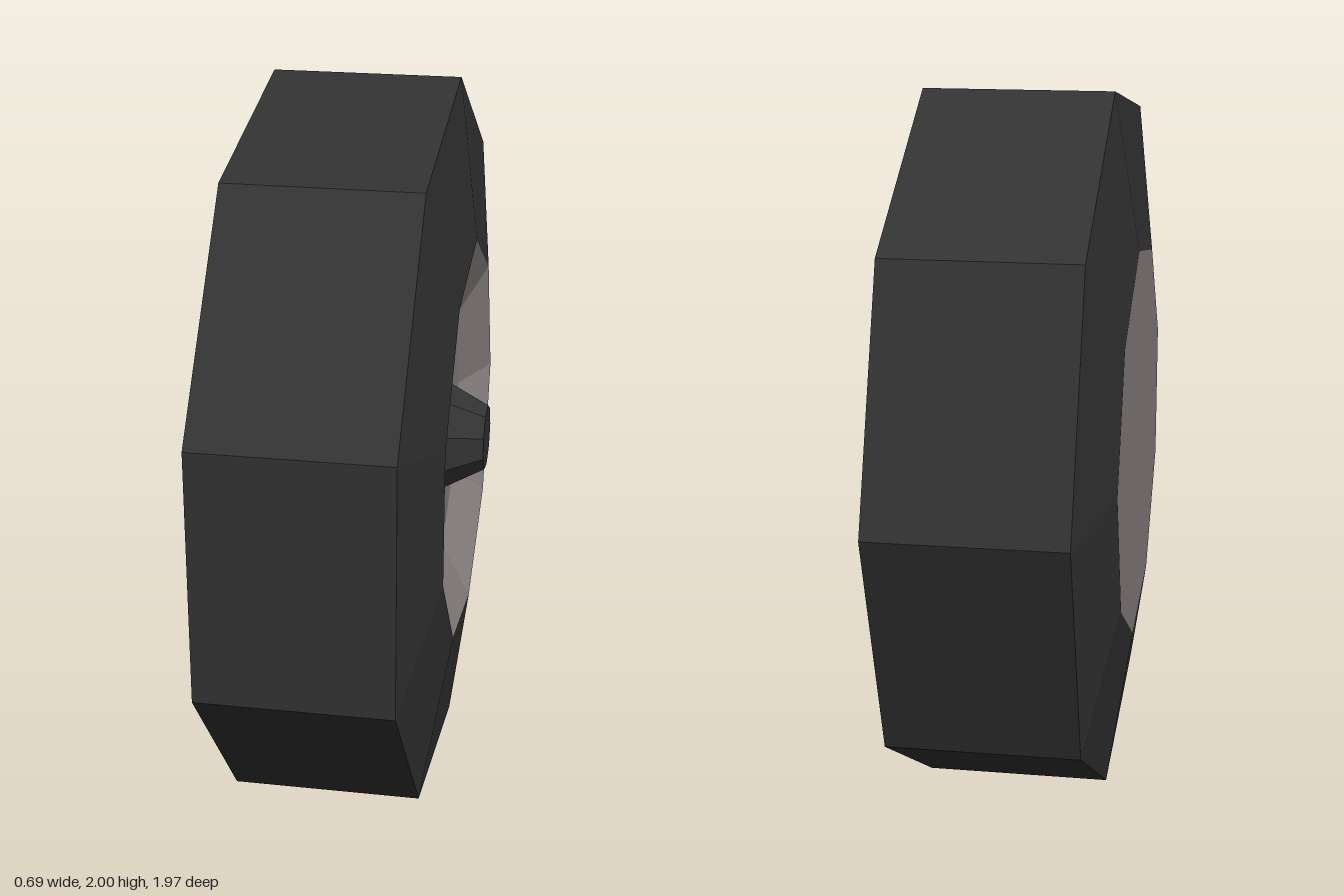
import * as THREE from 'three';

const SIDES = 9;
const SHIFT = 0.0302; // keeps each nine-sided ring centred on its own bounds

// Faceted ring around the x axle; profile points are [radius, x]
function ring(name, material, profile) {
  const points = profile.map(([r, x]) => new THREE.Vector2(r, x));
  const lathe = new THREE.LatheGeometry(points, SIDES, Math.PI);
  const pos = lathe.attributes.position;
  for (let i = 0; i < pos.count; i++) {
    const r = Math.hypot(pos.getX(i), pos.getZ(i));
    pos.setZ(i, pos.getZ(i) + SHIFT * r);
  }
  lathe.rotateZ(-Math.PI / 2);
  const geometry = lathe.toNonIndexed(); // flat facets
  geometry.computeVertexNormals();
  const mesh = new THREE.Mesh(geometry, material);
  mesh.name = name;
  return mesh;
}

export function createModel() {
  const rubber = new THREE.MeshStandardMaterial({ color: 0x323232 });
  rubber.name = 'dark rubber';
  const metal = new THREE.MeshStandardMaterial({ color: 0x898280 });
  metal.name = 'grey metal';

  const wheel = new THREE.Group();
  wheel.name = 'wheel';
  wheel.add(
    // Tyre: sloped sidewalls and flat tread
    ring('tyre', rubber, [[0.569, -0.35], [1.0156, -0.285], [1.0156, 0.235], [0.569, 0.295]]),
    // Flat inner side of the rim
    ring('rimBack', metal, [[0, -0.35], [0.569, -0.35]]),
    // Dished outer side of the rim
    ring('rimDish', metal, [[0.569, 0.295], [0.393, 0.215], [0, 0.215]]),
    // Tapered hub cap
    ring('hubCap', rubber, [[0.163, 0.213], [0.093, 0.345], [0, 0.345]])
  );
  wheel.position.y = 1;

  const model = new THREE.Group();
  model.add(wheel);
  return model;
}
